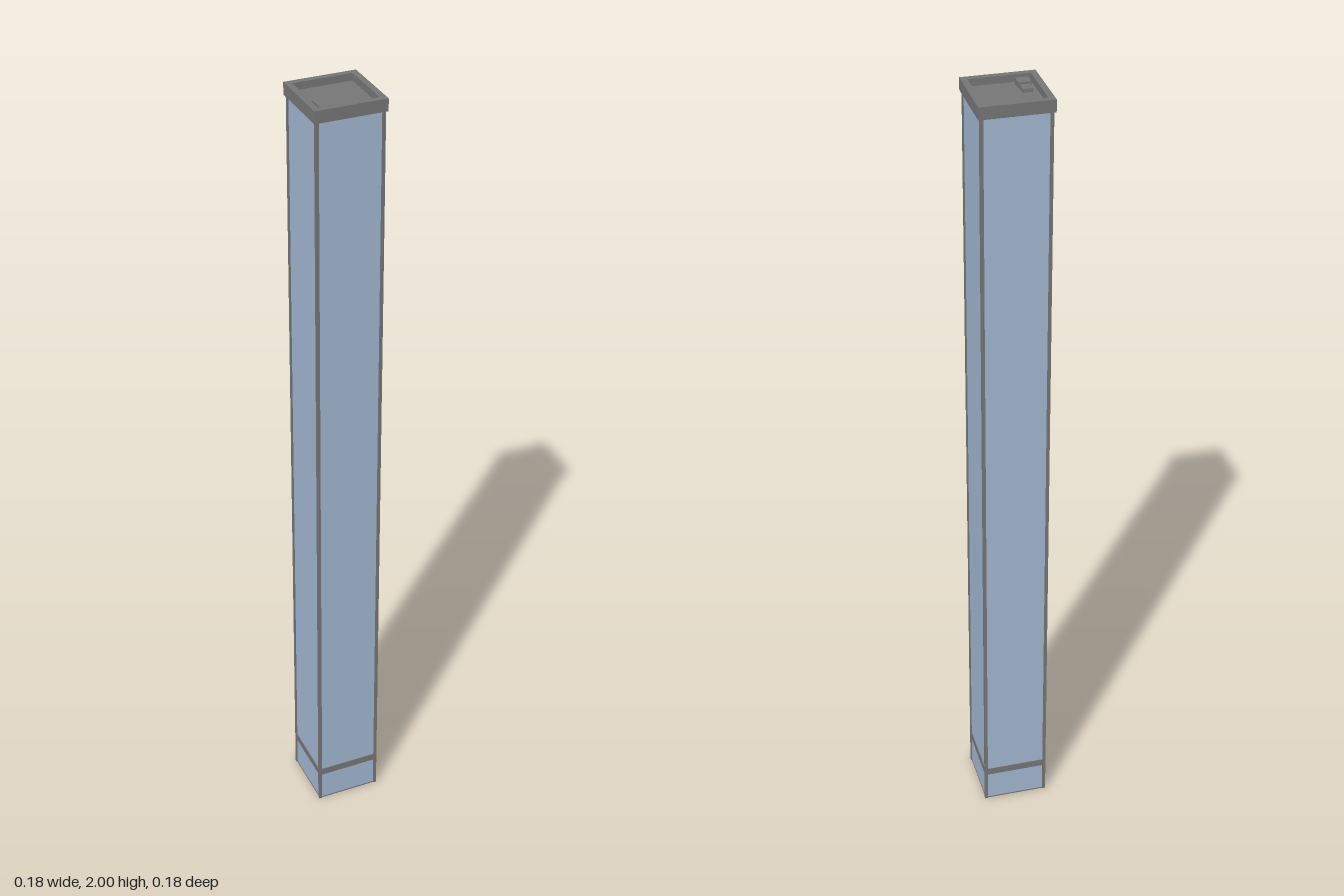
import * as THREE from 'three';

export function createModel() {
  const group = new THREE.Group();
  const grey = new THREE.MeshStandardMaterial({ color: 0x777777 });
  const glass = new THREE.MeshStandardMaterial({ color: 0xa3b8d3 });

  // Box placed by its centre in x and z, and by its bottom and top in y
  function box(name, w, d, y0, y1, x, z, material) {
    const mesh = new THREE.Mesh(new THREE.BoxGeometry(w, y1 - y0, d), material);
    mesh.position.set(x, (y0 + y1) / 2, z);
    mesh.name = name;
    group.add(mesh);
    return mesh;
  }

  // Square outline, as a shape or a hole
  function square(h, Type) {
    const s = new Type();
    s.moveTo(-h, -h);
    s.lineTo(h, -h);
    s.lineTo(h, h);
    s.lineTo(-h, h);
    s.closePath();
    return s;
  }

  // Base plate and glass shaft
  box('basePlate', 0.164, 0.164, 0, 0.003, 0, 0, grey);
  box('glassShaft', 0.162, 0.162, 0.003, 1.972, 0, 0, glass);

  // Corner posts
  for (const sx of [-1, 1]) {
    for (const sz of [-1, 1]) {
      box('cornerPost', 0.008, 0.008, 0, 1.972, sx * 0.08, sz * 0.08, grey);
    }
  }

  // Band above the lobby
  box('lobbyBand', 0.166, 0.166, 0.083, 0.102, 0, 0, grey);

  // Roof slab and parapet around the recessed roof
  box('roofSlab', 0.176, 0.176, 1.97, 1.982, 0, 0, grey);
  const rim = square(0.088, THREE.Shape);
  rim.holes.push(square(0.073, THREE.Path));
  const parapet = new THREE.Mesh(
    new THREE.ExtrudeGeometry(rim, { depth: 0.018, bevelEnabled: false }), grey);
  parapet.rotation.x = -Math.PI / 2;
  parapet.position.y = 1.982;
  parapet.name = 'parapet';
  group.add(parapet);

  // Rooftop plant housings
  box('plantHousing', 0.03, 0.029, 1.982, 1.996, -0.049, 0.049, grey);
  box('plantDuct', 0.024, 0.027, 1.982, 1.991, -0.049, 0.021, grey);

  return group;
}
